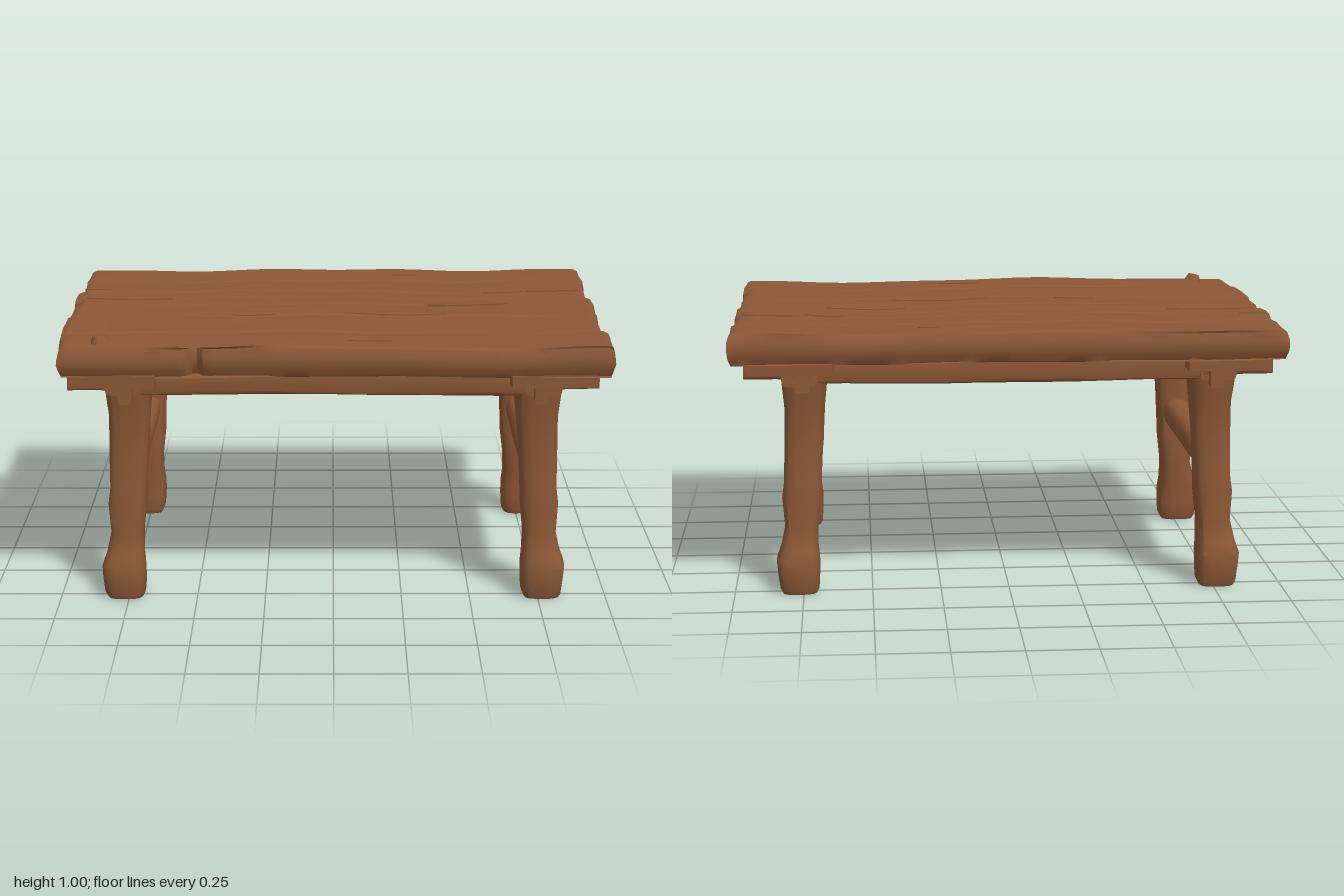
import * as THREE from 'three';
import { toCreasedNormals } from 'three/addons/utils/BufferGeometryUtils.js';

// Smooth, repeatable unevenness for hand-hewn wood, about -1..1
const wobble = (a, b, s = 0) =>
  (Math.sin(a * 5.1 + s * 2.3) + Math.sin(a * 11.7 + b * 4.3 + s) * 0.6 + Math.sin(b * 9.1 - a * 3.7 + s * 1.7) * 0.7) / 2.3;

// Lofts rounded-square sections [t, u0, u1, v0, v1]; place maps (u, v, t) to a point
function loft(sections, place, { round = 0.5, rough = 0.004, seed = 0, flip = false, crease = 0.6 } = {}) {
  const N = 16, pos = [], index = [];
  const soft = (c) => Math.sign(c) * Math.pow(Math.abs(c), round);
  for (const [t, u0, u1, v0, v1] of sections) {
    for (let j = 0; j < N; j++) {
      const a = (j / N) * Math.PI * 2 + Math.PI / N;
      const r = 1 + (rough * wobble(t * 2, a, seed)) / 0.06;
      pos.push(...place((u0 + u1) / 2 + (soft(Math.cos(a)) * r * (u1 - u0)) / 2,
        (v0 + v1) / 2 + (soft(Math.sin(a)) * r * (v1 - v0)) / 2, t));
    }
  }
  const tri = (a, b, c) => index.push(...(flip ? [a, c, b] : [a, b, c]));
  const last = sections.length - 1;
  for (let i = 0; i < last; i++) {
    for (let j = 0; j < N; j++) {
      const k = (j + 1) % N, a = i * N, b = a + N;
      tri(a + j, a + k, b + k);
      tri(a + j, b + k, b + j);
    }
  }
  for (let j = 1; j < N - 1; j++) {
    tri(0, j + 1, j);
    tri(last * N, last * N + j, last * N + j + 1);
  }
  const g = new THREE.BufferGeometry();
  g.setAttribute('position', new THREE.Float32BufferAttribute(pos, 3));
  g.setIndex(index);
  return toCreasedNormals(g, crease);
}

// Height of the worn table surface
const topHeight = (x, z) => 0.97 + 0.008 * wobble(x, z, 1) + 0.007 * z * z + 0.012 * Math.max(0, x - 0.6) * (z < 0 ? 1 : 0.4);

// One plank of the top, from z0 to z1, with dipped seams and worn outer edges
function plankGeometry(z0, z1, n) {
  const g = new THREE.BoxGeometry(2, 1, 2, 100, 4, 8), p = g.attributes.position;
  const half = (z1 - z0) / 2, mid = (z0 + z1) / 2;
  const endL = -0.982 + 0.012 * Math.sin(n * 2.4), endR = 0.984 + 0.012 * Math.cos(n * 1.9);
  for (let i = 0; i < p.count; i++) {
    const px = p.getX(i), h = p.getY(i) + 0.5, pz = p.getZ(i);
    let x = THREE.MathUtils.mapLinear(px, -1, 1, endL, endR);
    // keep the outermost rows close to the seam
    const side = Math.abs(pz) > 0.99 ? Math.sign(pz) : 0;
    let z = mid + (side ? side * half : (pz / 0.75) * (half - 0.012));
    const seam = (zz) => 0.01 * wobble(x, zz, 4);
    const outer = (side > 0 && z1 > 0.6) || (side < 0 && z0 < -0.6);
    z += outer ? side * 0.012 * wobble(x * 0.8, z, 6) : seam(side ? z : mid);
    // plank ends bulge a little around their middle
    const bulge = 1 - Math.pow(Math.abs(h - 0.55) * 2, 2);
    if (Math.abs(px) > 0.999) x += Math.sign(px) * (0.012 * bulge - 0.006 + 0.004 * wobble(z * 3, h, n));
    if (outer) {
      z += side * (0.016 * bulge - 0.008);
      // split in the front edge
      if (side > 0) z -= 0.05 * Math.max(0, 1 - Math.abs(x + 0.49) / 0.035);
    }
    const open = THREE.MathUtils.smoothstep(Math.abs(x + 0.2 * Math.sin(n * 3)), 0.3, 0.8);
    const dip = side ? (outer ? 0.008 : 0.004 + 0.014 * open) : 0;
    const endWear = Math.abs(px) > 0.99 ? 0.008 : 0;
    const top = topHeight(x, z) - dip - endWear;
    const bottom = 0.862 + 0.004 * wobble(x, z, 9) + (outer ? 0.004 : 0);
    p.setXYZ(i, x, bottom + (top - bottom) * h, z);
  }
  return toCreasedNormals(g, 0.5);
}

// Thin raised splinter of wood lying along the grain
function splinterGeometry(x0, x1, z, w) {
  const s = new THREE.Shape(), l = x1 - x0;
  s.moveTo(0, 0);
  s.quadraticCurveTo(l * 0.2, w, l * 0.55, w * 0.7);
  s.lineTo(l, w * 0.15);
  s.quadraticCurveTo(l * 0.5, -w * 0.5, 0, 0);
  const g = new THREE.ExtrudeGeometry(s, { depth: 0.009, bevelEnabled: false, curveSegments: 8 });
  g.rotateX(-Math.PI / 2);
  g.translate(x0, 0, z);
  const p = g.attributes.position;
  for (let i = 0; i < p.count; i++) p.setY(i, topHeight(p.getX(i), p.getZ(i)) - 0.005 + p.getY(i));
  g.computeVertexNormals();
  return g;
}

export function createModel() {
  const group = new THREE.Group();
  const wood = new THREE.MeshStandardMaterial({ color: 0x8b5735 });
  wood.name = 'brown wood';
  const add = (name, geometry) => {
    const m = new THREE.Mesh(geometry, wood);
    m.name = name;
    group.add(m);
    return m;
  };

  // Table top planks
  const seams = [-0.647, -0.43, -0.25, -0.14, -0.03, 0.15, 0.41, 0.637];
  for (let i = 0; i < seams.length - 1; i++) add('topPlank', plankGeometry(seams[i], seams[i + 1], i));

  // Splinters and a worn knot on the surface
  [[0.04, 0.42, 0.13, 0.05], [0.36, 0.66, -0.04, 0.05], [-0.38, -0.22, 0.14, 0.02], [0.58, 0.74, -0.23, 0.02],
    [-0.95, -0.62, -0.14, 0.02], [0.24, 0.33, -0.53, 0.02], [0.05, 0.21, 0.54, 0.015], [0.75, 0.96, -0.24, 0.015],
    [-0.97, -0.87, -0.28, 0.02]].forEach((s) => add('splinter', splinterGeometry(...s)));
  const knot = add('knot', new THREE.CylinderGeometry(0.022, 0.035, 0.025, 7));
  knot.position.set(-0.83, 0.985, 0.55);
  knot.rotation.z = 0.2;

  // Legs: flared at the top, with a swollen foot; outer corner toward +x and +z
  const leg = [
    [0, 0.415, 0.555, 0.70, 0.83], [0.015, 0.408, 0.562, 0.693, 0.838], [0.07, 0.405, 0.566, 0.69, 0.845],
    [0.12, 0.405, 0.57, 0.69, 0.848], [0.165, 0.40, 0.55, 0.695, 0.832], [0.24, 0.395, 0.535, 0.695, 0.815],
    [0.35, 0.39, 0.542, 0.682, 0.822], [0.41, 0.395, 0.535, 0.68, 0.814], [0.55, 0.39, 0.53, 0.672, 0.812],
    [0.68, 0.385, 0.535, 0.662, 0.81], [0.78, 0.375, 0.558, 0.652, 0.82], [0.87, 0.355, 0.57, 0.63, 0.835],
  ];
  for (const sx of [-1, 1]) {
    for (const sz of [-1, 1]) {
      add('leg', loft(leg, (z, x, y) => [x * sx, y, z * sz],
        { round: 0.55, rough: 0.002, seed: sx + sz * 2, flip: sx * sz < 0, crease: 0.7 }));
    }
  }

  // Long beams under the front and back edges, with hewn ends
  for (const s of [-1, 1]) {
    const c = s * 0.485, rows = [];
    for (let i = 0; i <= 16; i++) {
      const x = -0.95 + (1.9 * i) / 16, end = Math.abs(x) > 0.8 ? 1 : 0;
      const w = (end ? 0.06 : 0.072) + 0.004 * wobble(x, s);
      rows.push([x, 0.773 + end * 0.018 + 0.004 * wobble(x, 2, s), 0.872, c - w, c + w]);
    }
    add('longBeam', loft(rows, (y, z, x) => [x, y, z], { round: 0.3, rough: 0.001, seed: s }));
  }

  for (const s of [-1, 1]) {
    // Side beams with narrow tenons showing past the legs
    const c = s * 0.75, rows = [];
    for (let i = 0; i <= 10; i++) {
      const z = -0.56 + 0.112 * i;
      rows.push([z, c - 0.065, c + 0.065, 0.772 + 0.005 * wobble(z, s), 0.872]);
    }
    add('sideBeam', loft(rows, (x, y, z) => [x, y, z], { round: 0.3, rough: 0.001, seed: s }));
    for (const e of [-1, 1]) {
      const t = s * 0.74, ends = e > 0 ? [0.52, 0.57, 0.605] : [-0.605, -0.57, -0.52];
      add('tenon', loft(ends.map((z) => [z, t - 0.025, t + 0.025, 0.755, 0.87]),
        (x, y, z) => [x, y, z], { round: 0.25, rough: 0.001 }));
      // Ledge blocks tucked under the table corners
      const ledge = add('ledgeBlock', new THREE.BoxGeometry(0.3, 0.045, 0.09));
      ledge.position.set(s * 0.78, 0.845, e * 0.583);
      ledge.rotation.y = s * e * 0.04;
      // Pegs at the beam ends
      const peg = add('peg', new THREE.CylinderGeometry(0.028, 0.036, 0.1, 6));
      peg.rotation.z = -s * Math.PI / 2;
      peg.position.set(s * 0.9, 0.82, e * 0.455);
    }

    // Round stretcher between the front and back legs
    const bar = [];
    for (let i = 0; i <= 10; i++) {
      const z = -0.45 + 0.09 * i, r = 0.053 + 0.002 * wobble(z, s, 3);
      bar.push([z, c - r, c + r, 0.455 - r, 0.455 + r]);
    }
    add('stretcher', loft(bar, (x, y, z) => [x, y, z], { round: 0.8, rough: 0.001, seed: s, crease: 0.8 }));
  }
  return group;
}
